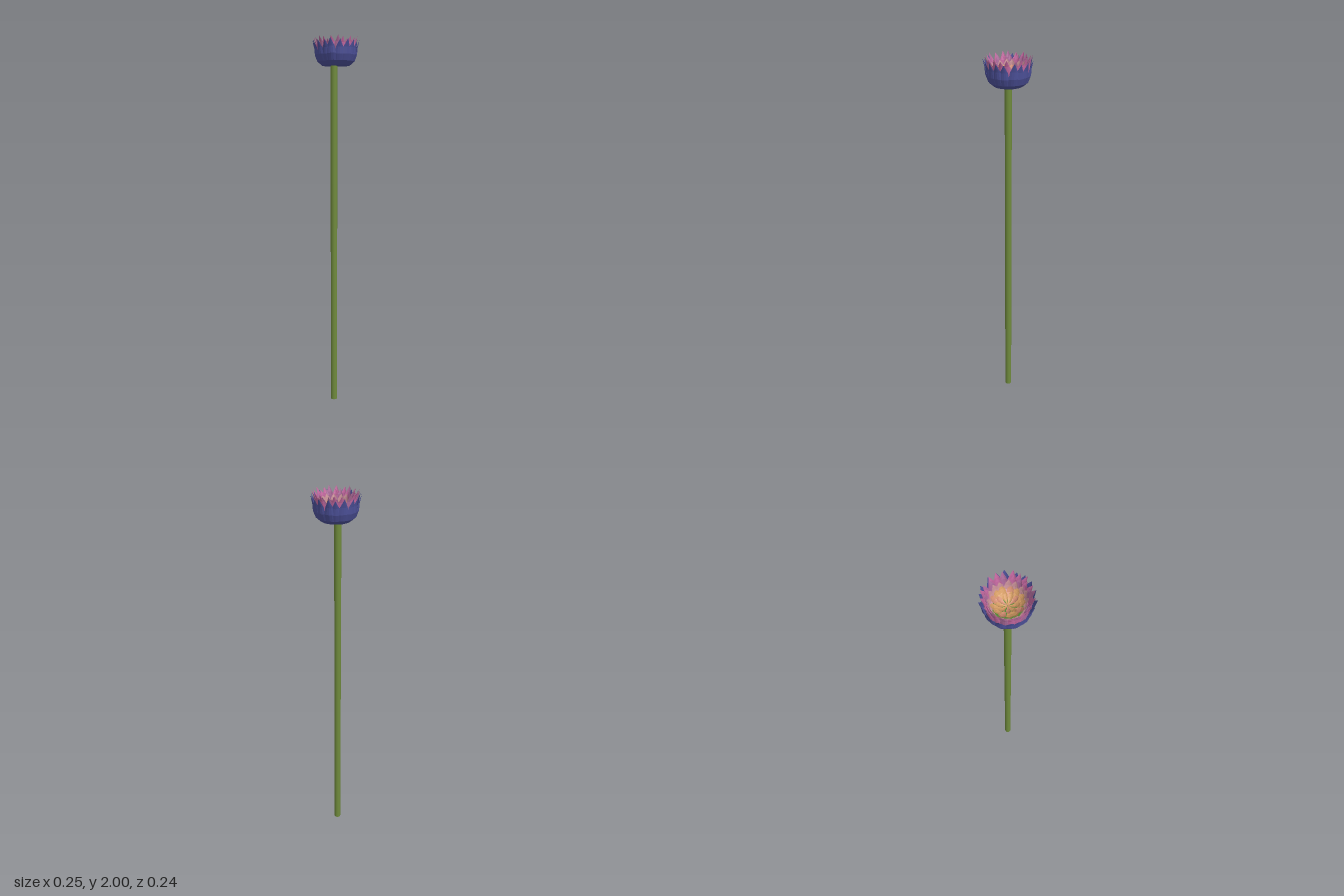
import * as THREE from 'three';

const mat = (name, color, double = true) => {
  const m = new THREE.MeshStandardMaterial({ color, flatShading: double });
  m.name = name;
  if (double) m.side = THREE.DoubleSide;
  return m;
};

// Folded petal facing +x: profile rows are [radius, height, half width];
// the rim edges are offset from the midrib by the fold.
function petalGeometry(profile, fold, lift = 0) {
  const pos = [], idx = [];
  const spread = [-1, -0.5, 0, 0.5, 1];
  for (const [r, y, w] of profile)
    for (const u of spread) pos.push(r - fold * w * u * u, y + lift * w * u * u, u * w);
  const n = spread.length;
  for (let i = 0; i < profile.length - 1; i++)
    for (let j = 0; j < n - 1; j++) {
      const a = i * n + j, b = a + n;
      idx.push(a, b, a + 1, b, b + 1, a + 1);
    }
  const g = new THREE.BufferGeometry();
  g.setAttribute('position', new THREE.Float32BufferAttribute(pos, 3));
  g.setIndex(idx);
  g.computeVertexNormals();
  return g;
}

export function createModel() {
  const model = new THREE.Group();
  model.name = 'flower';

  const stemGreen = mat('stem green', 0x6f8a3c, false);
  const cutBrown = mat('cut end mauve', 0x8a5a62, false);
  const blue = mat('sepal blue', 0x4c5098);
  const pink = mat('petal pink', 0xc468a0);
  const mauve = mat('petal mauve', 0xae6c9c);
  const rose = mat('petal rose', 0xcb929a);
  const orange = mat('petal orange', 0xd29a62);
  const salmon = mat('petal salmon', 0xd08c70);
  const green = mat('heart green', 0x4f8a30);

  const add = (parent, name, geo, material) => {
    const m = new THREE.Mesh(geo, material);
    m.name = name;
    parent.add(m);
    return m;
  };

  // Long straight stem with a cut end
  const stem = add(model, 'stem', new THREE.CylinderGeometry(0.018, 0.018, 1.87, 16),
    [stemGreen, stemGreen, cutBrown]);
  stem.position.set(-0.01, 0.935, 0.003);

  const head = new THREE.Group();
  head.name = 'flowerHead';
  head.position.set(-0.002, 0, -0.002);
  model.add(head);

  // Closed cup that carries the petals
  const cup = [[0, 1.853], [0.065, 1.855], [0.088, 1.872], [0.1, 1.9], [0.101, 1.92]]
    .map(([x, y]) => new THREE.Vector2(x, y));
  add(head, 'cup', new THREE.LatheGeometry(cup, 24), blue);

  // Green heart seen between the inner petals
  const heart = [[0.075, 1.9], [0.045, 1.893], [0, 1.888]].map(([x, y]) => new THREE.Vector2(x, y));
  add(head, 'heart', new THREE.LatheGeometry(heart, 16), green);

  // Ring of petals with slight natural variation in length and angle
  function ring(name, count, offset, profile, fold, materials, lift = 0) {
    const g = new THREE.Group();
    g.name = name;
    const geo = petalGeometry(profile, fold, lift);
    const base = profile[0][1];
    for (let i = 0; i < count; i++) {
      const p = add(g, name + 'Petal', geo, materials[i % materials.length]);
      const s = 1 - 0.06 * (0.5 + 0.5 * Math.sin(i * 2.4 + offset * 5));
      p.rotation.y = ((i + offset) / count) * Math.PI * 2 + 0.05 * Math.sin(i * 4.1);
      p.scale.set(0.5 + s * 0.5, s, 0.5 + s * 0.5);
      p.position.y = base * (1 - s);
    }
    head.add(g);
  }

  ring('outerBlue', 18, 0, [
    [0.03, 1.853, 0.008], [0.075, 1.855, 0.019], [0.1, 1.876, 0.025],
    [0.113, 1.91, 0.026], [0.116, 1.945, 0.02], [0.125, 1.985, 0.001]], 0.3, [blue]);
  ring('outerPink', 20, 0.5, [
    [0.08, 1.885, 0.016], [0.1, 1.91, 0.021], [0.105, 1.945, 0.021],
    [0.108, 1.97, 0.014], [0.117, 2.0, 0.001]], 0.35, [pink, pink, mauve]);
  ring('middlePink', 18, 0.2, [
    [0.072, 1.887, 0.014], [0.089, 1.91, 0.02], [0.094, 1.94, 0.02],
    [0.097, 1.962, 0.013], [0.105, 1.987, 0.001]], 0.35, [mauve, pink]);
  ring('innerRose', 16, 0.6, [
    [0.06, 1.89, 0.012], [0.077, 1.908, 0.018], [0.083, 1.93, 0.019],
    [0.086, 1.95, 0.013], [0.09, 1.966, 0.001]], 0.3, [rose]);

  // Rounded warm petals opening out from the middle
  ring('heartOuter', 13, 0, [
    [0.03, 1.899, 0.004], [0.045, 1.904, 0.011], [0.06, 1.914, 0.016],
    [0.07, 1.927, 0.015], [0.076, 1.938, 0.006]], 0.2, [orange, salmon, orange], 0.2);
  ring('heartInner', 9, 0.4, [
    [0.002, 1.902, 0.001], [0.018, 1.906, 0.005], [0.033, 1.913, 0.01],
    [0.046, 1.924, 0.011], [0.054, 1.935, 0.004]], 0.2, [orange, orange, salmon], 0.3);

  return model;
}
